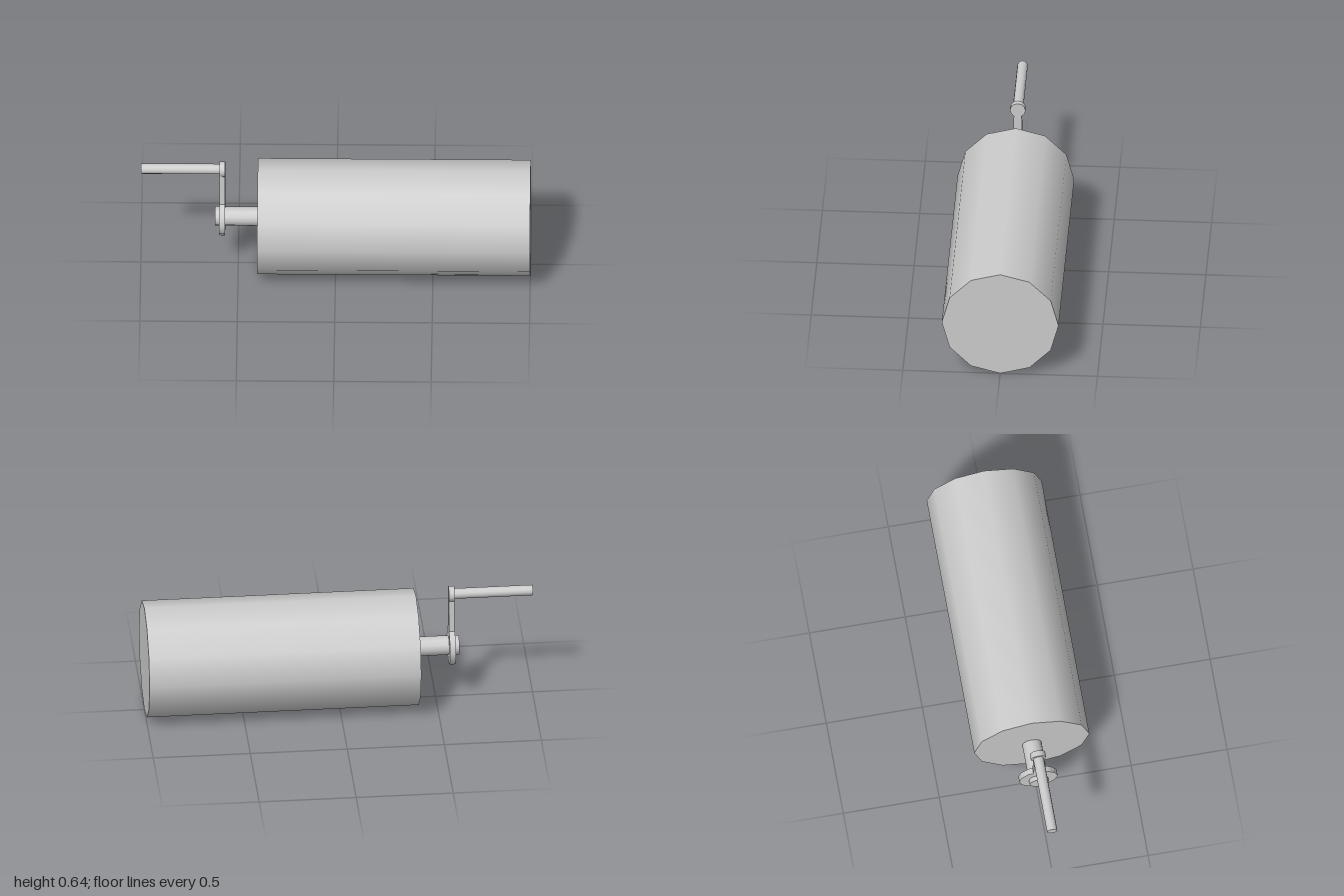
import * as THREE from 'three';

const material = new THREE.MeshStandardMaterial({ color: 0xcccccc });

// Twelve-sided rod or disc lying along x, from x0 to x1 at height y
function rod(name, radius, x0, x1, y) {
  const geometry = new THREE.CylinderGeometry(radius, radius, x1 - x0, 12);
  geometry.rotateZ(Math.PI / 2);
  const mesh = new THREE.Mesh(geometry, material);
  mesh.name = name;
  mesh.position.set((x0 + x1) / 2, y, 0);
  return mesh;
}

export function createModel() {
  const group = new THREE.Group();
  group.name = 'crankRoller';
  const axleY = 0.3, gripY = 0.603;
  const armX0 = -0.597, armX1 = -0.567;

  // Large roller and its axle
  group.add(rod('roller', 0.3, -0.4, 1, axleY));
  group.add(rod('axle', 0.05, -0.62, -0.4, axleY));

  // Crank: hub disc, end disc and grip
  group.add(rod('crankHub', 0.1, armX0, armX1, axleY));
  group.add(rod('crankEnd', 0.04, armX0, armX1, gripY));
  group.add(rod('grip', 0.027, -1, armX0, gripY));

  // Slightly tapered arm joining the two discs
  const bottom = axleY + 0.09, top = gripY - 0.03;
  const outline = new THREE.Shape([
    new THREE.Vector2(-0.026, bottom),
    new THREE.Vector2(0.026, bottom),
    new THREE.Vector2(0.02, top),
    new THREE.Vector2(-0.02, top),
  ]);
  const armGeometry = new THREE.ExtrudeGeometry(outline, { depth: armX1 - armX0, bevelEnabled: false });
  armGeometry.rotateY(Math.PI / 2);
  const arm = new THREE.Mesh(armGeometry, material);
  arm.name = 'crankArm';
  arm.position.x = armX0;
  group.add(arm);

  return group;
}
